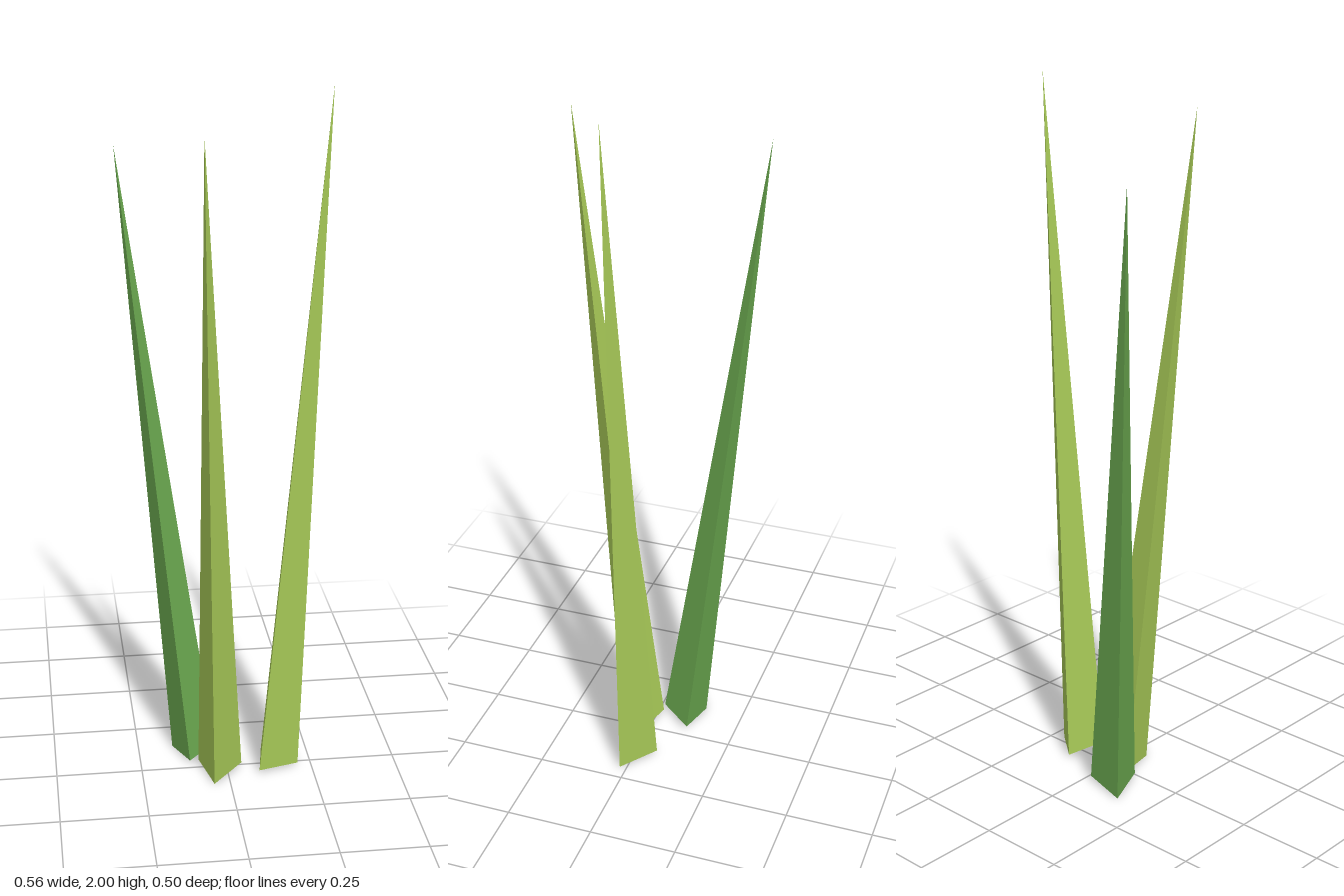
import * as THREE from 'three';

const lime = new THREE.MeshStandardMaterial({ color: 0xa7c957 });
lime.name = 'lime green';
const leaf = new THREE.MeshStandardMaterial({ color: 0x6aa84f });
leaf.name = 'leaf green';

const RADIUS = 0.074; // radius of the three-sided foot
const FOOT_Y = 0.0105; // height of the foot centre

// One three-sided spike from its foot to its tip, one corner facing the lean
function blade(name, material, [fx, fz], [tx, ty, tz]) {
  const foot = new THREE.Vector3(fx, FOOT_Y, fz);
  const axis = new THREE.Vector3(tx, ty, tz).sub(foot);
  const height = axis.length();
  const up = axis.normalize();
  const side = new THREE.Vector3().crossVectors(up, new THREE.Vector3(tx - fx, 0, tz - fz)).normalize();
  const lean = new THREE.Vector3().crossVectors(side, up);

  // a cone's first corner lies on +z, so +z is turned to the lean direction
  const geometry = new THREE.ConeGeometry(RADIUS, height, 3).toNonIndexed();
  geometry.translate(0, height / 2, 0);
  geometry.computeVertexNormals();
  geometry.applyMatrix4(new THREE.Matrix4().makeBasis(side, up, lean).setPosition(foot));

  const mesh = new THREE.Mesh(geometry, material);
  mesh.name = name;
  return mesh;
}

export function createModel() {
  const group = new THREE.Group();
  group.name = 'grassTuft';
  group.add(
    blade('leftBlade', lime, [0.138, 0.006], [0.279, 2, 0.03]),
    blade('frontBlade', lime, [-0.028, 0.0325], [-0.085, 1.915, 0.247]),
    blade('backBlade', leaf, [-0.092, -0.087], [-0.28, 1.805, -0.249]),
  );
  return group;
}
